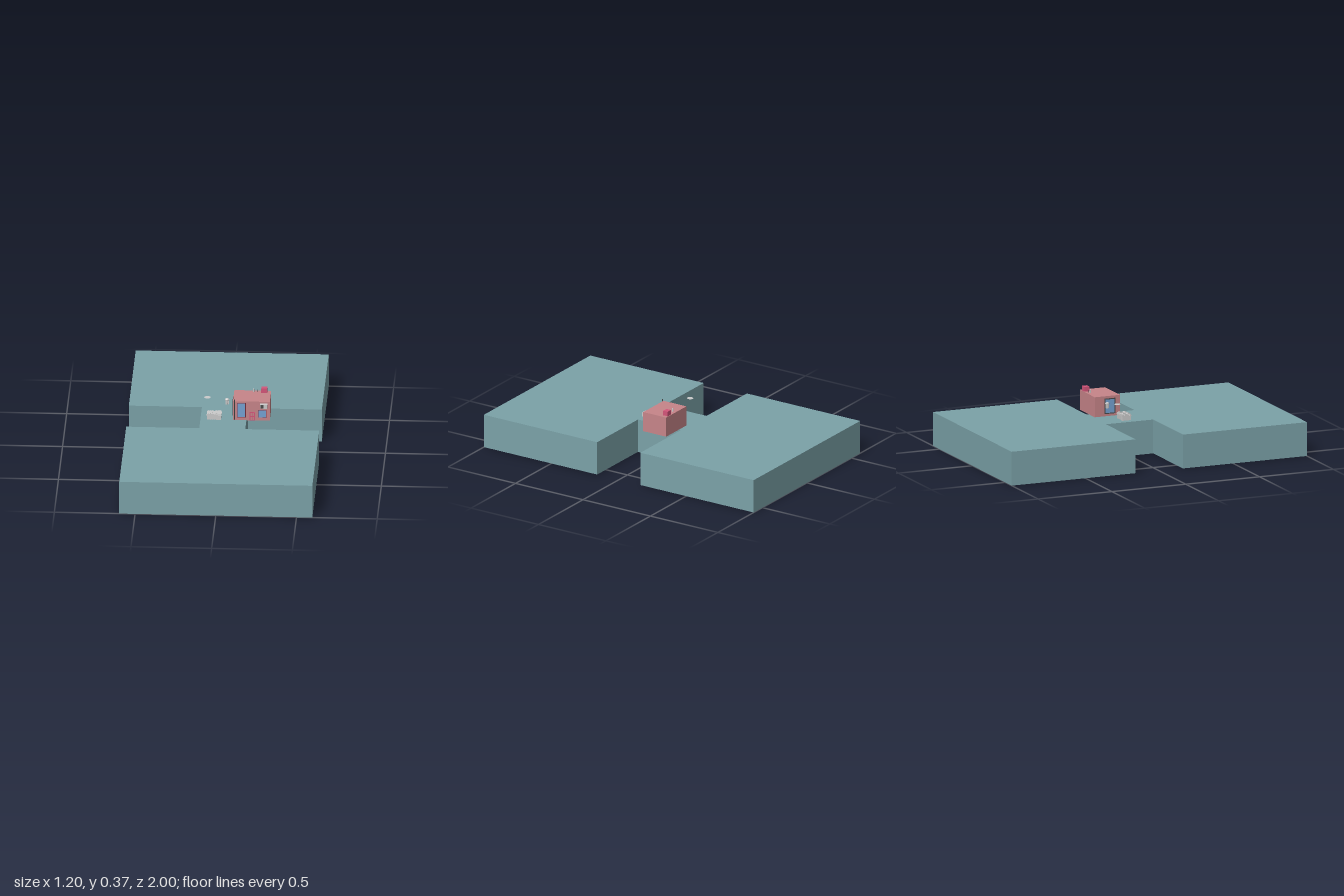
import * as THREE from 'three';

const mat = (color) => new THREE.MeshStandardMaterial({ color, flatShading: true, side: THREE.DoubleSide });
const TEAL = mat(0x7ba2a8), PINK = mat(0xc78589), ROSE = mat(0xd4557a), FRAME = mat(0x8c3a4c);
const BLUE = mat(0x74a2d2), GREY = mat(0xcccccc), DARK = mat(0x4a4a4a);

function add(parent, name, geometry, material, x = 0, y = 0, z = 0) {
  const mesh = new THREE.Mesh(geometry, material);
  mesh.name = name;
  mesh.position.set(x, y, z);
  parent.add(mesh);
  return mesh;
}

// Box given by its two opposite corners
function box(parent, name, material, [x0, y0, z0], [x1, y1, z1]) {
  return add(parent, name, new THREE.BoxGeometry(x1 - x0, y1 - y0, z1 - z0), material,
    (x0 + x1) / 2, (y0 + y1) / 2, (z0 + z1) / 2);
}

function group(parent, name) {
  const g = new THREE.Group();
  g.name = name;
  parent.add(g);
  return g;
}

const TOP = 0.215;

// Hollow H-shaped slab, open underneath
function buildGround(parent) {
  const ground = group(parent, 'ground');
  const w = 0.598, l = -0.145, r = 0.14, n = 0.16;
  const outline = [[-w, -1], [w, -1], [w, -n], [r, -n], [r, n], [w, n],
    [w, 1], [-w, 1], [-w, n], [l, n], [l, -n], [-w, -n]];
  const shape = new THREE.Shape(outline.map(([x, z]) => new THREE.Vector2(x, -z)));
  add(ground, 'groundTop', new THREE.ShapeGeometry(shape).rotateX(-Math.PI / 2), TEAL, 0, TOP, 0);
  outline.forEach(([x, z], i) => {
    const [x2, z2] = outline[(i + 1) % outline.length];
    const wall = add(ground, 'groundWall', new THREE.PlaneGeometry(Math.hypot(x2 - x, z2 - z), TOP),
      TEAL, (x + x2) / 2, TOP / 2, (z + z2) / 2);
    wall.rotation.y = Math.atan2(z - z2, x2 - x) + Math.PI;
  });
}

function buildHouse(parent) {
  const house = group(parent, 'house');
  const f = 0.025; // front wall
  box(house, 'walls', PINK, [0.057, TOP, -0.145], [0.285, 0.342, f]);

  // Front windows and door
  box(house, 'tallWindowFrame', FRAME, [0.082, 0.233, f], [0.136, 0.332, f + 0.002]);
  box(house, 'tallWindowPane', BLUE, [0.086, 0.237, f], [0.132, 0.328, f + 0.003]);
  box(house, 'smallWindowFrame', FRAME, [0.212, 0.235, f], [0.264, 0.286, f + 0.002]);
  box(house, 'smallWindowPane', BLUE, [0.214, 0.237, f], [0.262, 0.284, f + 0.003]);
  box(house, 'door', ROSE, [0.16, TOP, f], [0.193, 0.271, f + 0.002]);
  for (const x of [0.165, 0.179])
    for (const y of [0.22, 0.245])
      box(house, 'doorPanel', PINK, [x, y, f], [x + 0.009, y + 0.02, f + 0.003]);

  // Side window
  box(house, 'sideWindowFrame', DARK, [0.052, 0.23, -0.08], [0.057, 0.327, -0.008]);
  box(house, 'sideWindowPane', BLUE, [0.051, 0.236, -0.074], [0.057, 0.321, -0.014]);

  // Air conditioner
  box(house, 'airConditioner', GREY, [0.225, 0.304, f], [0.27, 0.33, f + 0.02]);
  box(house, 'airConditionerGrille', DARK, [0.227, 0.306, f + 0.02], [0.247, 0.328, f + 0.021]);

  // Corner pipe, roof pipes and chimney
  add(house, 'cornerPipe', new THREE.CylinderGeometry(0.002, 0.002, 0.137, 8), DARK, 0.066, 0.2865, f + 0.002);
  add(house, 'wideRoofPipe', new THREE.CylinderGeometry(0.0045, 0.0045, 0.025, 8), GREY, 0.177, 0.35, -0.122);
  add(house, 'thinRoofPipe', new THREE.CylinderGeometry(0.0025, 0.0025, 0.02, 8), DARK, 0.2, 0.347, -0.122);
  box(house, 'chimney', ROSE, [0.225, 0.34, -0.141], [0.262, 0.372, -0.108]);
}

function buildDumpster(parent) {
  const dumpster = group(parent, 'dumpster');
  box(dumpster, 'body', GREY, [-0.103, TOP - 0.002, -0.027], [-0.017, 0.242, 0.027]);
  box(dumpster, 'rim', GREY, [-0.106, 0.242, -0.03], [-0.014, 0.247, 0.03]);
  for (let i = 0; i < 7; i++) {
    const x = -0.099 + i * 0.0127;
    box(dumpster, 'rib', GREY, [x, TOP, -0.029], [x + 0.003, 0.242, 0.029]);
  }
  for (const x of [-0.104, -0.058]) {
    box(dumpster, 'lid', GREY, [x, 0.247, -0.029], [x + 0.042, 0.253, 0.029]);
    for (const dx of [0.006, 0.018, 0.03])
      box(dumpster, 'lidRidge', GREY, [x + dx, 0.253, -0.027], [x + dx + 0.005, 0.256, 0.027]);
  }
}

function buildTrashCan(parent) {
  const can = group(parent, 'trashCan');
  can.position.set(0.015, 0, -0.08);
  add(can, 'canBody', new THREE.CylinderGeometry(0.011, 0.008, 0.029, 12), GREY, 0, 0.2895, 0);
  add(can, 'canRim', new THREE.CylinderGeometry(0.014, 0.013, 0.005, 12), GREY, 0, 0.306, 0);
  add(can, 'canTop', new THREE.CylinderGeometry(0.005, 0.012, 0.006, 12), GREY, 0, 0.311, 0);
  for (let i = 0; i < 8; i++) {
    const a = i * Math.PI / 4;
    add(can, 'canRib', new THREE.BoxGeometry(0.002, 0.026, 0.002), GREY, 0.01 * Math.cos(a), 0.29, 0.01 * Math.sin(a));
  }
}

export function createModel() {
  const model = new THREE.Group();
  model.name = 'cityLot';
  buildGround(model);
  buildHouse(model);
  buildDumpster(model);
  buildTrashCan(model);
  // Thin loose disc
  add(model, 'flatDisc', new THREE.CircleGeometry(0.02, 20).rotateX(-Math.PI / 2), GREY, -0.106, 0.325, -0.065);
  return model;
}
